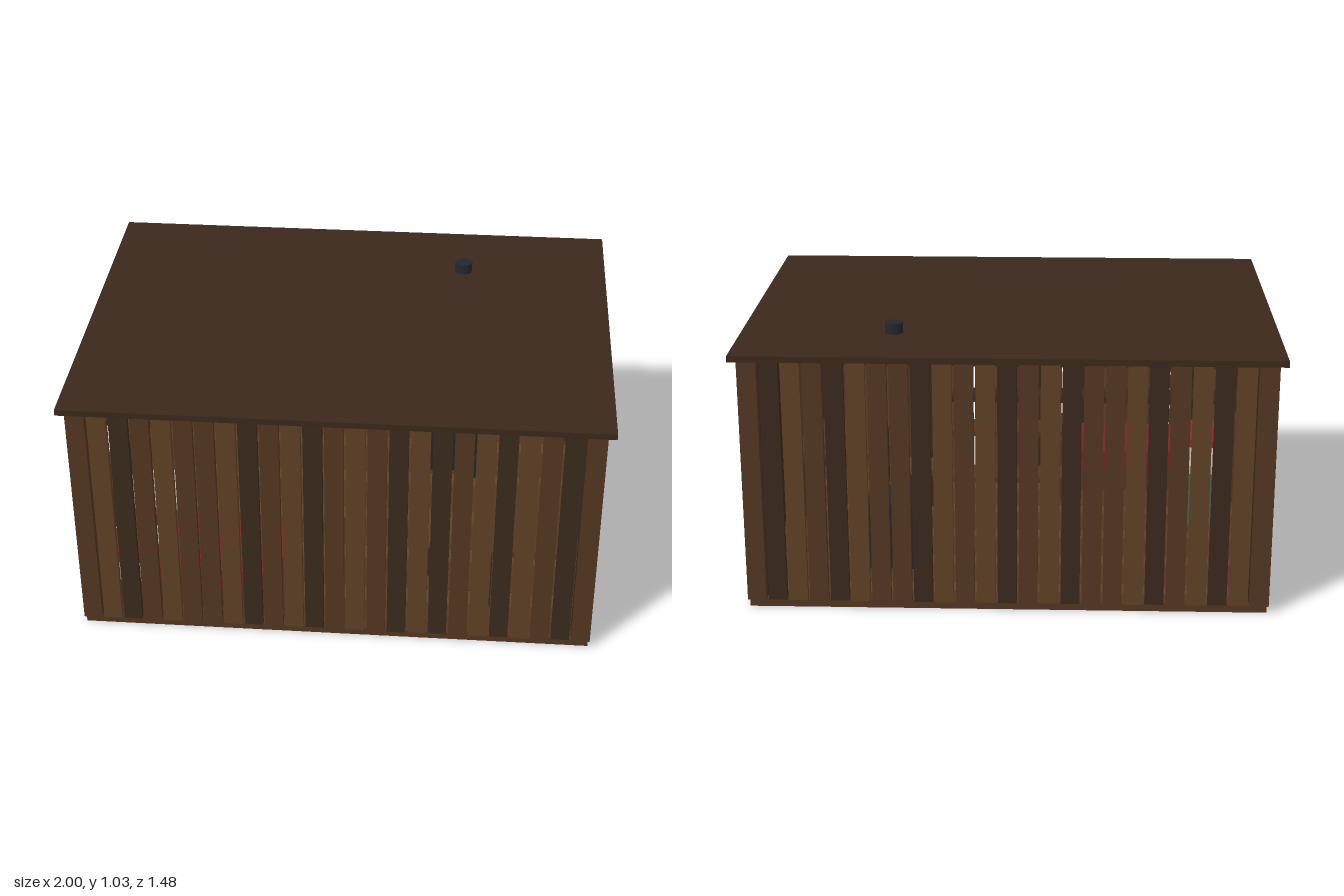
import * as THREE from 'three';

const mats = {};
const mat = (color) => (mats[color] ??= new THREE.MeshStandardMaterial({ color, flatShading: true }));
const WOOD = { L: 0x5e4026, M: 0x533621, D: 0x3a291c };
const ROOF = 0x3b281b, IRON = 0x25262a;

function add(parent, name, geometry, color, x = 0, y = 0, z = 0) {
  const m = new THREE.Mesh(geometry, mat(color));
  m.name = name;
  m.position.set(x, y, z);
  parent.add(m);
  return m;
}

// Box given by its lower and upper corners
function box(parent, name, color, x0, x1, y0, y1, z0, z1) {
  return add(parent, name, new THREE.BoxGeometry(x1 - x0, y1 - y0, z1 - z0), color,
    (x0 + x1) / 2, (y0 + y1) / 2, (z0 + z1) / 2);
}

function group(parent, name) {
  const g = new THREE.Group();
  g.name = name;
  parent.add(g);
  return g;
}

// Row of upright boards; tones is one letter per board, opening(u) gives a half height to leave out
function plankWall(parent, name, tones, half, place, opening = () => 0) {
  const g = group(parent, name);
  const pitch = (2 * half) / tones.length;
  [...tones].forEach((t, i) => {
    const u0 = -half + i * pitch, u1 = u0 + pitch - 0.008;
    const u = u0 + pitch / 2;
    const h = opening(u);
    const spans = h > 0 ? [[0.03, WIN.y - h], [WIN.y + h, 0.97]] : [[0.03, 0.97]];
    for (const [a, b] of spans) place(g, WOOD[t], u0 + 0.004, u1 + 0.004, a, b, (i % 3) * 0.002);
  });
  return g;
}

const WIN = { y: 0.56, outer: 0.34, inner: 0.275 };

// Four-legged stand with a flat top
function table(parent, name, color, x0, x1, z0, z1, h, t = 0.025) {
  const g = group(parent, name);
  box(g, 'top', color, x0, x1, h - t, h, z0, z1);
  for (const x of [x0 + 0.01, x1 - 0.04]) for (const z of [z0 + 0.01, z1 - 0.04])
    box(g, 'leg', WOOD.D, x, x + 0.03, 0.03, h - t, z, z + 0.03);
  return g;
}

export function createModel() {
  const root = new THREE.Group();
  root.name = 'cabin';

  // Floor boards run along x
  const floor = group(root, 'floor');
  for (let i = 0; i < 16; i++) {
    const z = -0.71 + i * 0.08875;
    box(floor, 'floorBoard', [WOOD.M, WOOD.L, WOOD.M][i % 3], -0.965, 0.965, 0, 0.03, z + 0.002, z + 0.0865);
  }

  // Walls
  const front = 'MLDMLMMLDMLDMLMDLDMLDLMDM';
  plankWall(root, 'frontWall', front, 0.975, (g, c, a, b, y0, y1, d) =>
    box(g, 'plank', c, a, b, y0, y1, 0.692, 0.72 - d));
  plankWall(root, 'backWall', 'MLDLMDLMMDLMDLMLDMMLDMLDM', 0.975, (g, c, a, b, y0, y1, d) =>
    box(g, 'plank', c, a, b, y0, y1, -0.72 + d, -0.692));
  plankWall(root, 'leftWall', 'LMDMLMDLMDMMDLMDLM', 0.712, (g, c, a, b, y0, y1, d) =>
    box(g, 'plank', c, 0.945, 0.973 - d, y0, y1, a, b));
  plankWall(root, 'rightWall', 'DMDLDMLDMLMDLMDMDM', 0.712, (g, c, a, b, y0, y1, d) =>
    box(g, 'plank', c, -0.973 + d, -0.945, y0, y1, a, b),
    (u) => (Math.abs(u) < 0.31 ? Math.min(0.31, 0.31 * Math.SQRT2 - Math.abs(u)) : 0));

  // Inner posts and top rails
  const frame = group(root, 'innerFrame');
  for (const s of [-1, 1]) {
    for (const x of [-0.92, 0.92]) box(frame, 'post', WOOD.D, x - 0.02, x + 0.02, 0.03, 0.967, s * 0.667 - 0.02, s * 0.667 + 0.02);
    box(frame, 'rail', WOOD.D, -0.94, 0.94, 0.945, 0.967, s * 0.675 - 0.015, s * 0.675 + 0.015);
  }

  // Roof slab and flue
  box(root, 'roof', ROOF, -1, 1, 0.967, 0.99, -0.74, 0.74);
  const stove = group(root, 'stove');
  add(stove, 'flue', new THREE.CylinderGeometry(0.024, 0.024, 0.66, 12), IRON, 0.43, 0.67, -0.42);
  add(stove, 'flueCap', new THREE.CylinderGeometry(0.034, 0.034, 0.04, 12), IRON, 0.43, 1.01, -0.42);
  box(stove, 'firebox', IRON, 0.32, 0.54, 0.08, 0.34, -0.53, -0.31);
  for (const x of [0.34, 0.5]) for (const z of [-0.51, -0.35])
    box(stove, 'foot', IRON, x, x + 0.02, 0.03, 0.08, z, z + 0.02);

  // Octagonal window: eight mitred boards and a cross
  const win = group(root, 'octagonWindow');
  const k = Math.tan(Math.PI / 8), { outer: o, inner: n } = WIN;
  const shape = new THREE.Shape([[-n * k, n], [n * k, n], [o * k, o], [-o * k, o]].map((p) => new THREE.Vector2(...p)));
  const boardGeo = new THREE.ExtrudeGeometry(shape, { depth: 0.07, bevelEnabled: false });
  for (let i = 0; i < 8; i++) {
    add(win, 'frameBoard', boardGeo, i % 2 ? 0x65452a : WOOD.L).rotation.z = (i * Math.PI) / 4;
  }
  box(win, 'mullion', WOOD.M, -0.013, 0.013, -n, n, 0.02, 0.045);
  box(win, 'crossbar', WOOD.M, -n, n, -0.013, 0.013, 0.022, 0.047);
  win.rotation.y = -Math.PI / 2;
  win.position.set(-0.93, WIN.y, 0);

  // Bed along the front wall
  const bed = group(root, 'bed');
  box(bed, 'base', WOOD.M, -0.9, -0.2, 0.08, 0.18, 0.32, 0.68);
  box(bed, 'mattress', 0xb8b2a4, -0.89, -0.22, 0.18, 0.24, 0.33, 0.67);
  box(bed, 'blanket', 0x7a2420, -0.7, -0.21, 0.17, 0.255, 0.32, 0.675);
  box(bed, 'pillow', 0x8e2a24, -0.87, -0.73, 0.24, 0.29, 0.36, 0.64);
  box(bed, 'headboard', WOOD.M, -0.93, -0.9, 0.03, 0.4, 0.32, 0.68);
  box(bed, 'footboard', WOOD.M, -0.2, -0.17, 0.03, 0.3, 0.32, 0.68);

  // Green chest with a pale cushion by the window
  const chest = group(root, 'chest');
  box(chest, 'chestBody', 0x4a6350, -0.87, -0.66, 0.03, 0.25, 0.08, 0.29);
  box(chest, 'cushion', 0xb0aca0, -0.875, -0.655, 0.25, 0.285, 0.075, 0.295);

  // Table, stool and wall shelves
  table(root, 'table', WOOD.M, 0.55, 0.9, 0.1, 0.55, 0.31);
  table(root, 'stool', WOOD.L, 0.32, 0.47, 0.22, 0.37, 0.2);
  const shelves = group(root, 'shelves');
  for (const y of [0.5, 0.68]) box(shelves, 'shelf', WOOD.M, -0.2, 0.2, y, y + 0.02, -0.69, -0.56);
  box(shelves, 'longShelf', WOOD.D, -0.85, 0.2, 0.81, 0.83, -0.69, -0.58);
  return root;
}
